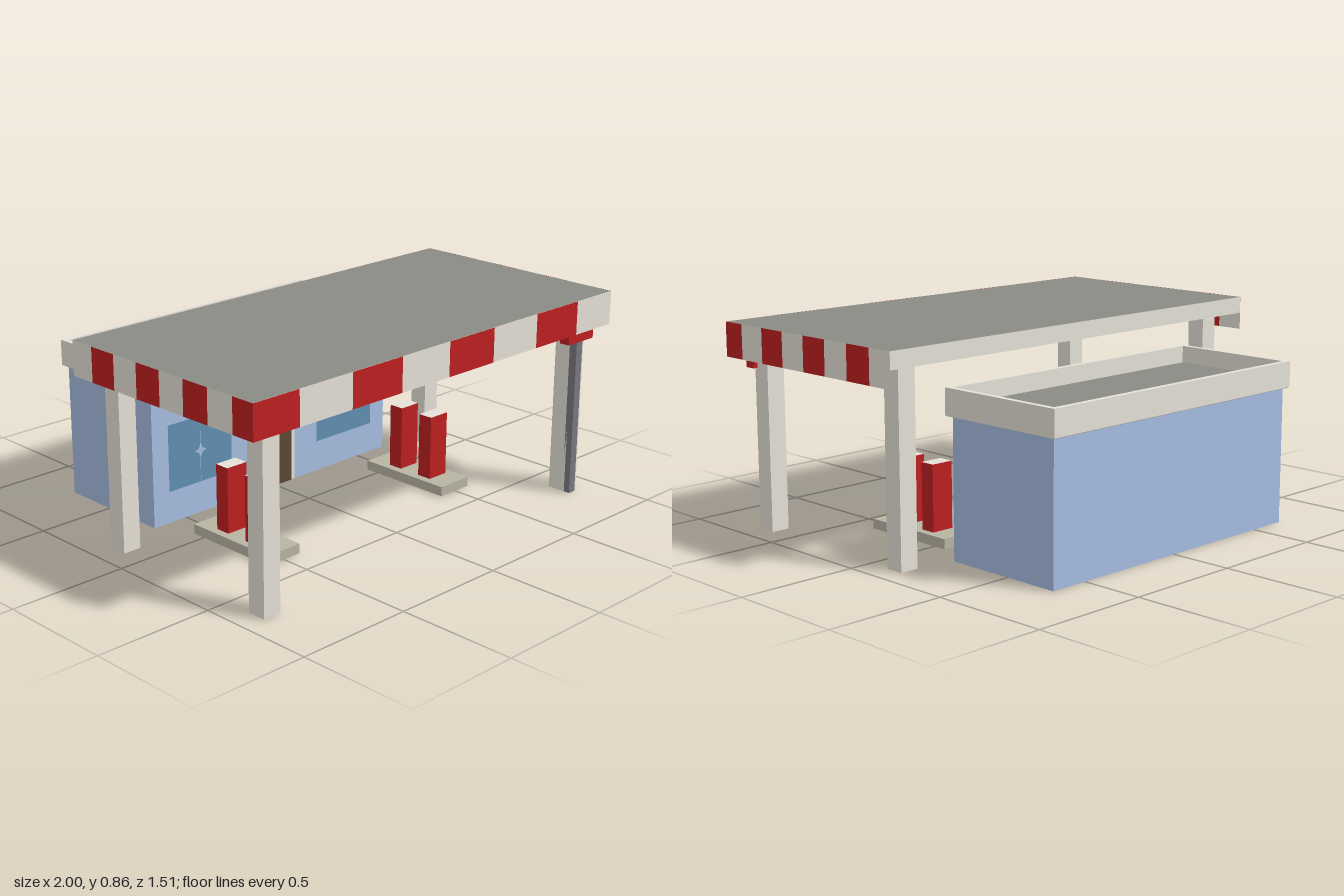
import * as THREE from 'three';

const mat = (name, color) => {
  const m = new THREE.MeshStandardMaterial({ color, side: THREE.DoubleSide });
  m.name = name;
  return m;
};

export function createModel() {
  const model = new THREE.Group();
  model.name = 'fillingStation';

  const cream = mat('cream', 0xe5e1d7);
  const red = mat('red', 0xbe2020);
  const blue = mat('wallBlue', 0xa6bde1);
  const grey = mat('roofGrey', 0x8b8b84);
  const stone = mat('islandStone', 0xb9b4a3);
  const glass = mat('windowBlue', 0x608eb0);
  const brown = mat('doorBrown', 0x5c4634);
  const dark = mat('postGrey', 0x797880);

  const add = (parent, name, geometry, material) => {
    const mesh = new THREE.Mesh(geometry, material);
    mesh.name = name;
    parent.add(mesh);
    return mesh;
  };

  const group = (name) => {
    const g = new THREE.Group();
    g.name = name;
    model.add(g);
    return g;
  };

  // Box given by its limits on each axis; open ones have no bottom face
  const box = (parent, name, [x0, x1], [y0, y1], [z0, z1], material, open = false) => {
    const g = new THREE.BoxGeometry(x1 - x0, y1 - y0, z1 - z0);
    if (open) {
      const index = Array.from(g.index.array);
      index.splice(18, 6);
      g.setIndex(index);
      g.groups = g.groups.filter((p) => p.materialIndex !== 3).map((p) => ({
        ...p, start: p.start > 18 ? p.start - 6 : p.start,
      }));
    }
    g.translate((x0 + x1) / 2, (y0 + y1) / 2, (z0 + z1) / 2);
    return add(parent, name, g, material);
  };

  // Canopy slab
  const canopy = group('canopy');
  box(canopy, 'canopySlab', [-0.998, 0.998], [0.787, 0.857], [-0.245, 0.753],
    [cream, cream, grey, grey, cream, cream]);

  // Striped fascia along the front and both sides
  const fasciaY = [0.716, 0.857];
  const frontEdges = [-1, -0.782, -0.52, -0.26, 0, 0.257, 0.518, 0.777, 1];
  const sideEdges = [0.755, 0.65, 0.52, 0.39, 0.26, 0.13, 0, -0.13, -0.245];
  for (let i = 0; i < 8; i++) {
    const colour = i % 2 ? cream : red;
    const strip = (name, width, x, z, turn) => {
      const g = new THREE.PlaneGeometry(width, fasciaY[1] - fasciaY[0]);
      g.rotateY(turn);
      g.translate(x, (fasciaY[0] + fasciaY[1]) / 2, z);
      add(canopy, name, g, colour);
    };
    strip('frontFasciaStripe', frontEdges[i + 1] - frontEdges[i],
      (frontEdges[i] + frontEdges[i + 1]) / 2, 0.755, 0);
    for (const s of [-1, 1]) {
      strip('sideFasciaStripe', sideEdges[i] - sideEdges[i + 1], s,
        (sideEdges[i] + sideEdges[i + 1]) / 2, s * Math.PI / 2);
    }
  }

  // Four canopy columns
  for (const x of [-0.866, 0.866]) {
    for (const z of [-0.14, 0.658]) {
      box(canopy, 'column', [x - 0.04, x + 0.04], [0, 0.786], [z - 0.04, z + 0.04], cream, true);
    }
  }

  // Dark post with a red head at the front left corner
  const post = group('cornerPost');
  box(post, 'pole', [0.826, 0.863], [0, 0.668], [0.69, 0.725], dark, true);
  box(post, 'poleHead', [0.765, 0.925], [0.667, 0.717], [0.684, 0.73], red);

  // Shop walls, open underneath
  const shop = group('shop');
  box(shop, 'walls', [-0.665, 0.665], [0, 0.566], [-0.738, -0.208], blue, true);

  // Flat roof inside a raised, overhanging parapet
  for (const [name, w, d, y] of [['roof', 1.32, 0.526, 0.605], ['roofUnderside', 1.366, 0.572, 0.567]]) {
    const g = new THREE.PlaneGeometry(w, d);
    g.rotateX(-Math.PI / 2);
    g.translate(0, y, -0.472);
    add(shop, name, g, grey);
  }
  const outline = (w, d) => [[-w, -d], [w, -d], [w, d], [-w, d]].map((p) => new THREE.Vector2(...p));
  const ring = new THREE.Shape(outline(0.683, 0.286));
  ring.holes.push(new THREE.Path(outline(0.66, 0.263)));
  const parapet = new THREE.ExtrudeGeometry(ring, { depth: 0.107, bevelEnabled: false });
  parapet.rotateX(-Math.PI / 2);
  parapet.translate(0, 0.569, -0.472);
  add(shop, 'parapet', parapet, cream);

  // Flat panels on the shop front, each given by its outline and layer
  const panel = (name, points, layer, material) => {
    const g = new THREE.ShapeGeometry(new THREE.Shape(points.map((p) => new THREE.Vector2(...p))));
    g.translate(0, 0, -0.208 + layer * 0.002);
    add(shop, name, g, material);
  };
  const rect = (x0, x1, y0, y1) => [[x0, y0], [x1, y0], [x1, y1], [x0, y1]];

  // Blank fascia board, door frame and door
  panel('fasciaBoard', rect(-0.497, 0.493, 0.432, 0.55), 2, cream);
  panel('doorFrame', rect(-0.115, 0.112, 0, 0.398), 1, cream);
  panel('door', [
    [-0.098, 0], [0.094, 0], [0.094, 0.366], [0.086, 0.374], [-0.09, 0.374], [-0.098, 0.366],
  ], 2, brown);

  // Paired window panes with a four-pointed star between them
  for (const x of [-0.416, 0.412]) {
    for (const s of [-1, 1]) {
      const inner = x + s * 0.001;
      const outer = x + s * 0.168;
      panel('windowPane', rect(Math.min(inner, outer), Math.max(inner, outer), 0.135, 0.419), 1, glass);
    }
    const star = Array.from({ length: 8 }, (_, i) => {
      const r = i % 2 ? 0.014 : 0.031;
      const a = i * Math.PI / 4;
      return [x + r * Math.cos(a), 0.272 + r * Math.sin(a)];
    });
    panel('windowStar', star, 2, blue);
  }

  // Two islands, each with a pair of pumps
  for (const x of [-0.5, 0.497]) {
    const island = group('pumpIsland');
    box(island, 'islandBase', [x - 0.084, x + 0.084], [0, 0.041], [-0.058, 0.373], stone, true);
    for (const z of [0.076, 0.242]) {
      box(island, 'pump', [x - 0.05, x + 0.05], [0.041, 0.317], [z - 0.033, z + 0.033],
        [red, red, cream, red, red, red], true);
    }
  }

  return model;
}
